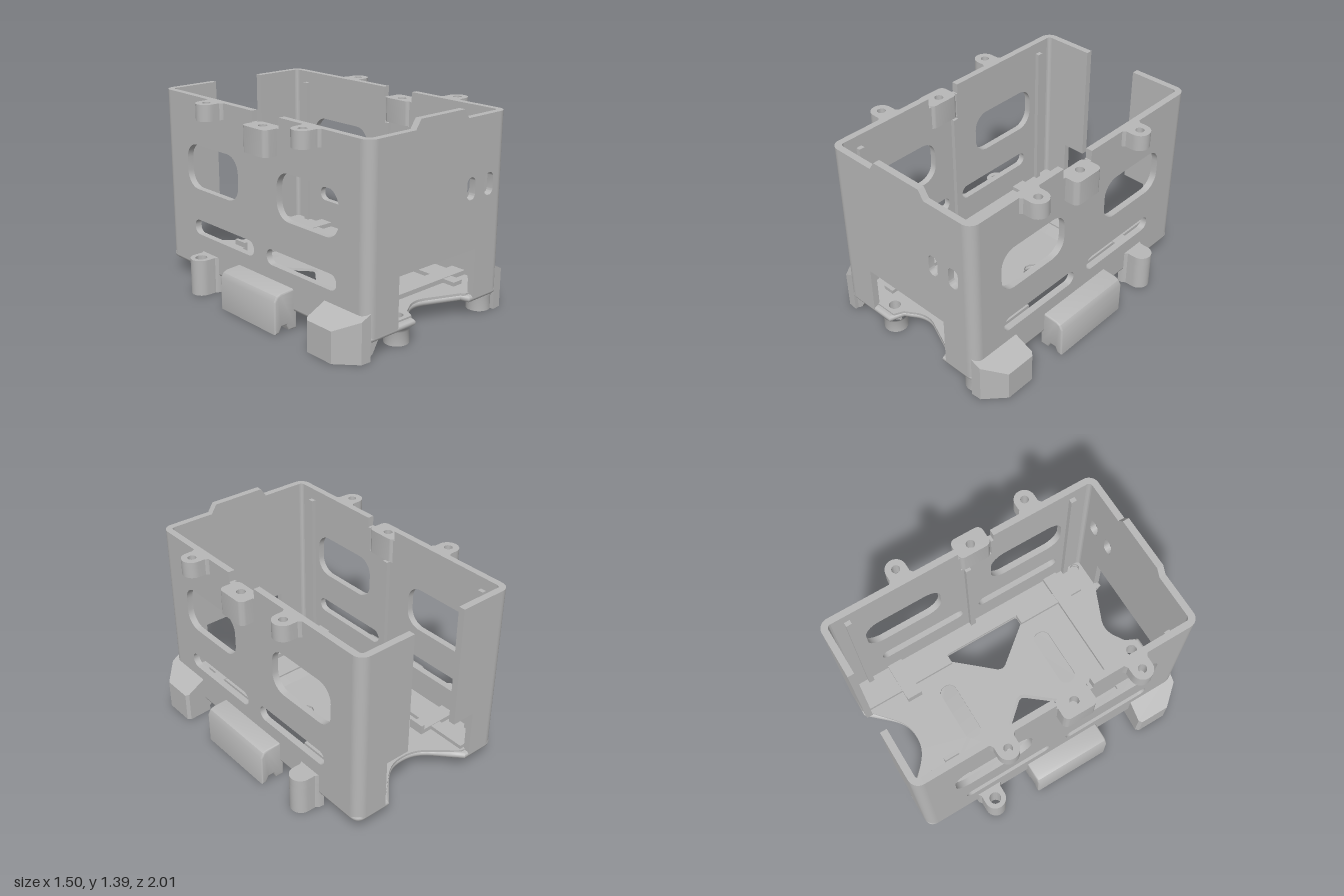
import * as THREE from 'three';
import { toCreasedNormals } from 'three/addons/utils/BufferGeometryUtils.js';

const HX = 0.6, HZ = 1, R = 0.07, T = 0.045, TOP = 1.33, BASE = 0.14, FLOOR = 0.172;

// Closed path helpers
const poly = (pts, Kind = THREE.Shape) => new Kind(pts.map(([x, y]) => new THREE.Vector2(x, y)));

function arcPts(cx, cy, r, a0, a1, n = 12) {
  return Array.from({ length: n + 1 }, (_, i) => {
    const a = a0 + ((a1 - a0) * i) / n;
    return [cx + r * Math.cos(a), cy + r * Math.sin(a)];
  });
}
const circle = (cx, cy, r) => poly(arcPts(cx, cy, r, 0, Math.PI * 2, 24).slice(0, -1), THREE.Path);

function roundRect(x0, y0, x1, y1, r, Kind = THREE.Path) {
  const q = Math.PI / 2;
  return poly([
    ...arcPts(x1 - r, y1 - r, r, 0, q, 8), ...arcPts(x0 + r, y1 - r, r, q, 2 * q, 8),
    ...arcPts(x0 + r, y0 + r, r, 2 * q, 3 * q, 8), ...arcPts(x1 - r, y0 + r, r, 3 * q, 4 * q, 8),
  ], Kind);
}

function extrude(shape, holes, depth, bevel = 0) {
  shape.holes.push(...holes);
  const g = new THREE.ExtrudeGeometry(shape, {
    depth: depth - 2 * bevel, curveSegments: 12, bevelEnabled: bevel > 0,
    bevelThickness: bevel, bevelSize: bevel, bevelOffset: -bevel, bevelSegments: 3,
  });
  return g.translate(0, 0, bevel);
}
// Plan shapes use (x, -z) and rise from y0 to y1
const plan = (shape, holes, y0, y1, bevel) =>
  extrude(shape, holes, y1 - y0, bevel).rotateX(-Math.PI / 2).translate(0, y0, 0);
const flipZ = (pts) => pts.map(([x, z]) => [x, -z]);

function mirrorX(geo) {
  const g = geo.index ? geo.toNonIndexed() : geo.clone();
  g.scale(-1, 1, 1);
  for (const a of Object.values(g.attributes)) {
    const n = a.itemSize;
    for (let i = 0; i < a.count; i += 3)
      for (let k = 0; k < n; k++) {
        const p = (i + 1) * n + k, q = (i + 2) * n + k;
        [a.array[p], a.array[q]] = [a.array[q], a.array[p]];
      }
  }
  return g;
}

export function createModel() {
  const model = new THREE.Group();
  const gray = new THREE.MeshStandardMaterial({ color: 0xb8b8b8 });
  gray.name = 'gray plastic';

  const add = (name, geo) => {
    const mesh = new THREE.Mesh(toCreasedNormals(geo, 0.6), gray);
    mesh.name = name;
    model.add(mesh);
  };
  const pair = (name, geo) => { add(name + 'Left', geo); add(name + 'Right', mirrorX(geo)); };
  const box = (x0, x1, y0, y1, z0, z1) =>
    new THREE.BoxGeometry(x1 - x0, y1 - y0, z1 - z0).translate((x0 + x1) / 2, (y0 + y1) / 2, (z0 + z1) / 2);

  // Side walls with windows, long slots and a notch for the middle tab
  const zr = HZ - R;
  const wall = poly([[-zr, BASE], [zr, BASE], [zr, TOP], [0.23, TOP], [0.23, 1.26], [0.21, 1.26], [0.21, 1.09],
    [-0.02, 1.09], [-0.02, 1.26], [-0.03, 1.26], [-0.03, TOP], [-zr, TOP]]);
  pair('sideWall', extrude(wall, [
    roundRect(0.2, 0.69, 0.76, 1.0, 0.11), roundRect(-0.75, 0.69, -0.19, 1.0, 0.11),
    roundRect(0.09, 0.365, 0.74, 0.47, 0.05), roundRect(-0.69, 0.365, -0.04, 0.47, 0.05),
  ], T).rotateY(-Math.PI / 2).translate(HX, 0, 0));

  // Front wall with raised lip, low opening and two small slots
  const xr = HX - R;
  add('frontWall', extrude(poly([[-xr, BASE], [-0.34, BASE], [-0.34, 0.475], [0.34, 0.475], [0.34, BASE], [xr, BASE],
    [xr, TOP], [0.23, TOP], [0.19, 1.39], [-0.19, 1.39], [-0.23, TOP], [-xr, TOP]]),
  [roundRect(0.24, 0.81, 0.315, 0.955, 0.035), roundRect(0.405, 0.81, 0.485, 0.955, 0.035)], T).translate(0, 0, HZ - T));

  // Rear wall panels either side of the opening
  pair('rearWall', extrude(poly([[0.37, BASE], [xr, BASE], [xr, TOP], [0.2, TOP], [0.2, 0.48], [0.37, 0.48]]), [], T)
    .translate(0, 0, -HZ));

  // Rounded corners
  for (const s of [1, -1]) {
    const a = (s * Math.PI) / 2;
    pair(s > 0 ? 'rearCorner' : 'frontCorner', plan(poly([
      ...arcPts(xr, s * zr, R, 0, a), ...arcPts(xr, s * zr, R - T, a, 0)]), [], BASE, TOP));
  }

  // Floor with end cutouts, triangular openings and screw holes
  const floorShape = (m) => {
    const s = new THREE.Shape(), X = HX - m, Z = HZ - m;
    s.moveTo(-X + R, -Z);
    s.quadraticCurveTo(-X, -Z, -X, -Z + R);
    s.lineTo(-X, Z - R);
    s.quadraticCurveTo(-X, Z, -X + R, Z);
    s.lineTo(-0.34, Z);
    s.bezierCurveTo(-0.18, 0.84, -0.15, 0.76, 0, 0.76);
    s.bezierCurveTo(0.15, 0.76, 0.18, 0.84, 0.34, Z);
    s.lineTo(X - R, Z);
    s.quadraticCurveTo(X, Z, X, Z - R);
    s.lineTo(X, -Z + R);
    s.quadraticCurveTo(X, -Z, X - R, -Z);
    s.lineTo(0.31, -Z);
    s.lineTo(0.29, -0.94);
    s.lineTo(0.08, -0.85);
    s.quadraticCurveTo(0, -0.81, -0.08, -0.85);
    s.lineTo(-0.16, -0.9);
    s.lineTo(-0.19, -Z);
    return s;
  };
  const openings = () => [
    ...[1, -1].map((s) => poly(flipZ([[0.42, -0.26], [0.41, -0.27], [0.36, -0.27], [0.13, -0.01], [0.12, 0.02],
      [0.13, 0.05], [0.35, 0.32], [0.41, 0.32], [0.42, 0.31]].map(([x, z]) => [s * x, z])), THREE.Path)),
    circle(-0.25, -0.9, 0.04), circle(0.52, -0.9, 0.035)];
  add('floor', plan(floorShape(0), openings(), 0.115, 0.16, 0.02));
  add('floorTop', plan(floorShape(0.035), [...openings(),
    roundRect(-0.22, 0.34, 0.22, 0.46, 0.055), roundRect(-0.22, -0.45, 0.22, -0.33, 0.055)], 0.155, FLOOR));

  // Raised rails on the floor and strap ribs under it
  const RAIL = 0.203;
  add('frontCrossRail', box(-0.555, 0.555, 0.16, RAIL, 0.64, 0.75));
  pair('rearCrossRail', box(0.26, 0.555, 0.16, RAIL, -0.68, -0.57));
  pair('rearCrossClip', box(0.25, 0.275, 0.16, 0.24, -0.68, -0.57));
  pair('rearLongRail', box(0.34, 0.42, 0.16, RAIL - 0.004, -0.95, -0.27));
  pair('frontLongRail', box(0.34, 0.42, 0.16, RAIL - 0.004, 0.32, 0.84));
  for (const z of [-0.67, -0.58, 0.65, 0.74])
    add('underRib', box(-0.52, 0.52, 0.103, 0.125, z - 0.012, z + 0.012));

  // Guide ribs on the inner walls
  for (const z of [-0.83, 0.02, 0.82])
    pair('guideRib', box(0.525, 0.56, 0.16, z === 0.02 ? 1.09 : 1.25, z - 0.02, z + 0.02));

  // D-shaped lug: straight back in the wall, round outer end
  const lug = (cx, cz, r, hole, y0, y1) => plan(poly([
    [0.565, -cz - r - 0.02], [0.6, -cz - r - 0.015], [0.62, -cz - r],
    ...arcPts(cx, -cz, r, -Math.PI / 2, Math.PI / 2, 18),
    [0.62, -cz + r], [0.6, -cz + r + 0.015], [0.565, -cz + r + 0.02]]),
  hole ? [circle(cx, -cz, hole)] : [], y0, y1);
  for (const z of [0.53, -0.41]) pair('topLug', lug(0.67, z, 0.07, 0.028, 1.22, TOP));

  // Middle tab with a blind hole
  pair('middleTab', plan(roundRect(0.545, -0.21, 0.695, 0.02, 0.04, THREE.Shape), [circle(0.61, -0.09, 0.03)], 1.09, 1.26));
  pair('middleTabPlug', new THREE.CylinderGeometry(0.031, 0.031, 0.06, 20).translate(0.61, 1.125, 0.09));

  // Rear posts: one open at the top, one closed
  add('rearPostRight', mirrorX(lug(0.68, -0.52, 0.073, 0.04, 0, 0.25)));
  add('rearPostLeft', lug(0.675, -0.55, 0.073, 0.04, 0, 0.2));
  add('rearPostCap', lug(0.675, -0.55, 0.073, 0, 0.2, 0.265));

  // Front posts flaring into the floor
  const tube = [[0.04, 0.165], [0.04, 0], [0.08, 0], [0.08, 0.09], [0.09, 0.11], [0.11, 0.125]]
    .map(([x, y]) => new THREE.Vector2(x, y));
  add('frontPostRight', new THREE.LatheGeometry(tube, 28).translate(-0.25, 0, 0.9));
  add('frontPostLeft', new THREE.LatheGeometry(tube.map((p) => new THREE.Vector2(Math.min(p.x, 0.085), p.y)), 28)
    .translate(0.52, 0, 0.9));

  // Front feet with sloped tops and chamfered corners
  const foot = plan(poly(flipZ([[0.562, 0.64], [0.73, 0.63], [0.75, 0.65], [0.75, 0.86], [0.63, 0.99], [0.562, 0.995]])),
    [], 0, 0.3);
  const p = foot.attributes.position;
  for (let i = 0; i < p.count; i++)
    if (p.getY(i) > 0.2) p.setY(i, 0.31 - (p.getX(i) - 0.55) * 0.52);
  foot.computeVertexNormals();
  pair('frontFoot', foot);
  pair('frontFootGusset', extrude(poly([[0.6, 0], [0.56, 0], [0.52, 0.03], [0.48, 0.1], [0.44, 0.13], [0.6, 0.13]]), [], 0.3)
    .translate(0, 0, 0.67));

  // Middle feet with a groove along the underside
  const runner = (z0, z1) => extrude(poly([[0.57, 0.27], [0.7, 0.262], [0.73, 0.25], [0.75, 0.215], [0.75, 0], [0.715, 0],
    [0.695, 0.04], [0.655, 0.04], [0.635, 0], [0.575, 0]]), [], z1 - z0, 0.012).translate(0, 0, z0);
  add('middleFootLeft', runner(-0.24, 0.37));
  add('middleFootRight', mirrorX(runner(-0.21, 0.35)));

  return model;
}
